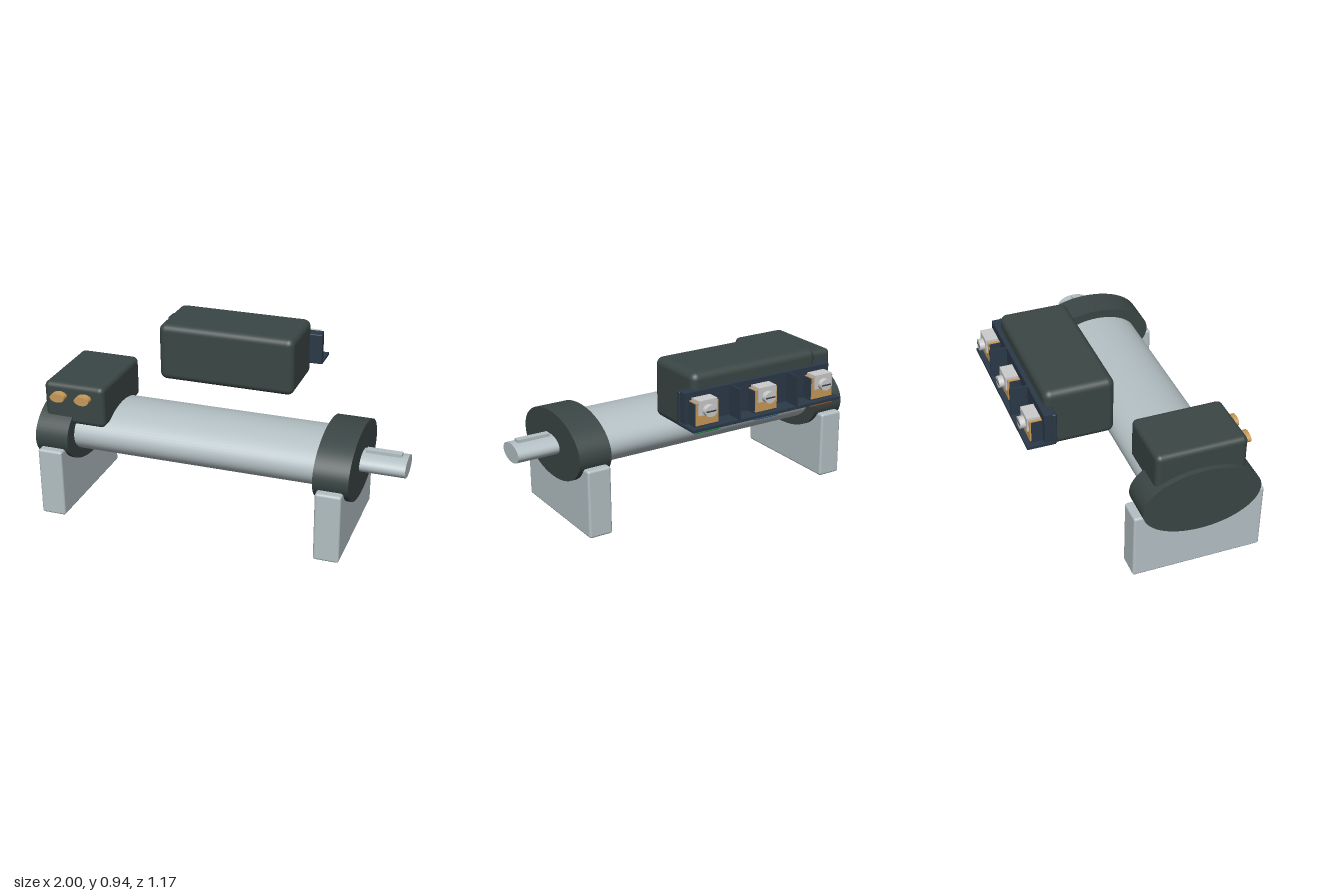
import * as THREE from 'three';
import { RoundedBoxGeometry } from 'three/addons/geometries/RoundedBoxGeometry.js';

const paint = (color) => new THREE.MeshStandardMaterial({ color });

export function createModel() {
  const model = new THREE.Group();
  model.name = 'gearMotor';
  const dark = paint(0x3a4645), steel = paint(0xb4c0c4), brass = paint(0xc89a5a);
  const navy = paint(0x2b3948), silver = paint(0xcccccc);

  const add = (name, geometry, material, parent = model) => {
    const mesh = new THREE.Mesh(geometry, material);
    mesh.name = name;
    parent.add(mesh);
    return mesh;
  };
  // Box given by its limits on each axis, optionally rounded
  const box = (name, [x0, x1], [y0, y1], [z0, z1], material, radius = 0, parent = model) => {
    const size = [x1 - x0, y1 - y0, z1 - z0];
    const g = radius ? new RoundedBoxGeometry(...size, 4, radius) : new THREE.BoxGeometry(...size);
    g.translate((x0 + x1) / 2, (y0 + y1) / 2, (z0 + z1) / 2);
    return add(name, g, material, parent);
  };
  // Elliptical cylinder lying along x on the motor axis
  const alongX = (name, x0, x1, ry, rz, material) => {
    const g = new THREE.CylinderGeometry(1, 1, x1 - x0, 64);
    g.rotateZ(Math.PI / 2).scale(1, ry, rz).translate((x0 + x1) / 2, 0.443, 0.222);
    return add(name, g, material);
  };
  // Elliptical cylinder lying along z
  const alongZ = (name, x, y, z0, z1, rx, ry, material, parent = model) => {
    const g = new THREE.CylinderGeometry(1, 1, z1 - z0, 32);
    g.rotateX(Math.PI / 2).scale(rx, ry, 1).translate(x, y, (z0 + z1) / 2);
    return add(name, g, material, parent);
  };

  // Motor body, end flanges, output shaft and key
  alongX('motorBody', -0.85, 0.6, 0.14, 0.242, steel);
  alongX('rearFlange', -1, -0.81, 0.19, 0.327, dark);
  alongX('frontFlange', 0.567, 0.757, 0.19, 0.327, dark);
  alongX('outputShaft', 0.7, 1, 0.054, 0.094, steel);
  box('shaftKey', [0.775, 0.965], [0.47, 0.513], [0.202, 0.242], steel);

  // Mounting feet
  for (const x of [-0.905, 0.66]) {
    box('mountingFoot', [x - 0.07, x + 0.07], [0.005, 0.397], [-0.14, 0.585], steel, 0.014);
  }

  // Connection box with two cable glands
  box('connectionBox', [-0.97, -0.62], [0.52, 0.756], [-0.027, 0.472], dark, 0.03);
  for (const x of [-0.875, -0.732]) {
    alongZ('cableGland', x, 0.687, 0.44, 0.513, 0.042, 0.026, brass);
  }

  // Separate control housing
  box('controlHousing', [-0.52, 0.277], [0.605, 0.94], [-0.452, -0.072], dark, 0.04);

  // Terminal strip on the back of the housing
  const strip = new THREE.Group();
  strip.name = 'terminalStrip';
  model.add(strip);
  box('stripBase', [-0.592, 0.35], [0.678, 0.858], [-0.435, -0.411], navy, 0.006, strip);
  box('stripBacking', [-0.585, 0.343], [0.685, 0.858], [-0.477, -0.43], navy, 0, strip);
  box('stripLedge', [-0.594, 0.352], [0.677, 0.692], [-0.572, -0.42], navy, 0, strip);
  for (const x of [-0.305, 0.064]) {
    box('divider', [x - 0.005, x + 0.005], [0.685, 0.858], [-0.572, -0.47], navy, 0, strip);
  }

  // Three screw terminals, each with a coloured marker under the ledge
  const markers = [0xb4602c, 0x3a6fb0, 0x2a9a50];
  markers.forEach((color, i) => {
    const x = -0.49 + i * 0.37;
    const terminal = new THREE.Group();
    terminal.name = 'terminal';
    strip.add(terminal);
    const span = (w) => [x - w, x + w];
    box('terminalBlock', span(0.07), [0.69, 0.815], [-0.538, -0.47], navy, 0, terminal);
    box('contactPlate', span(0.068), [0.7, 0.817], [-0.546, -0.536], brass, 0, terminal);
    box('contactTop', span(0.068), [0.812, 0.82], [-0.546, -0.48], brass, 0, terminal);
    box('clampTop', span(0.056), [0.82, 0.834], [-0.555, -0.485], silver, 0, terminal);
    box('clampFace', span(0.056), [0.755, 0.834], [-0.555, -0.544], silver, 0, terminal);
    alongZ('screwHead', x, 0.78, -0.583, -0.55, 0.036, 0.031, silver, terminal);
    box('screwSlot', span(0.03), [0.776, 0.784], [-0.584, -0.58], dark, 0, terminal)
      .name = 'screwSlot';
    box('marker', span(0.077), [0.656, 0.68], [-0.55, -0.51], paint(color), 0.008, terminal);
  });

  return model;
}
